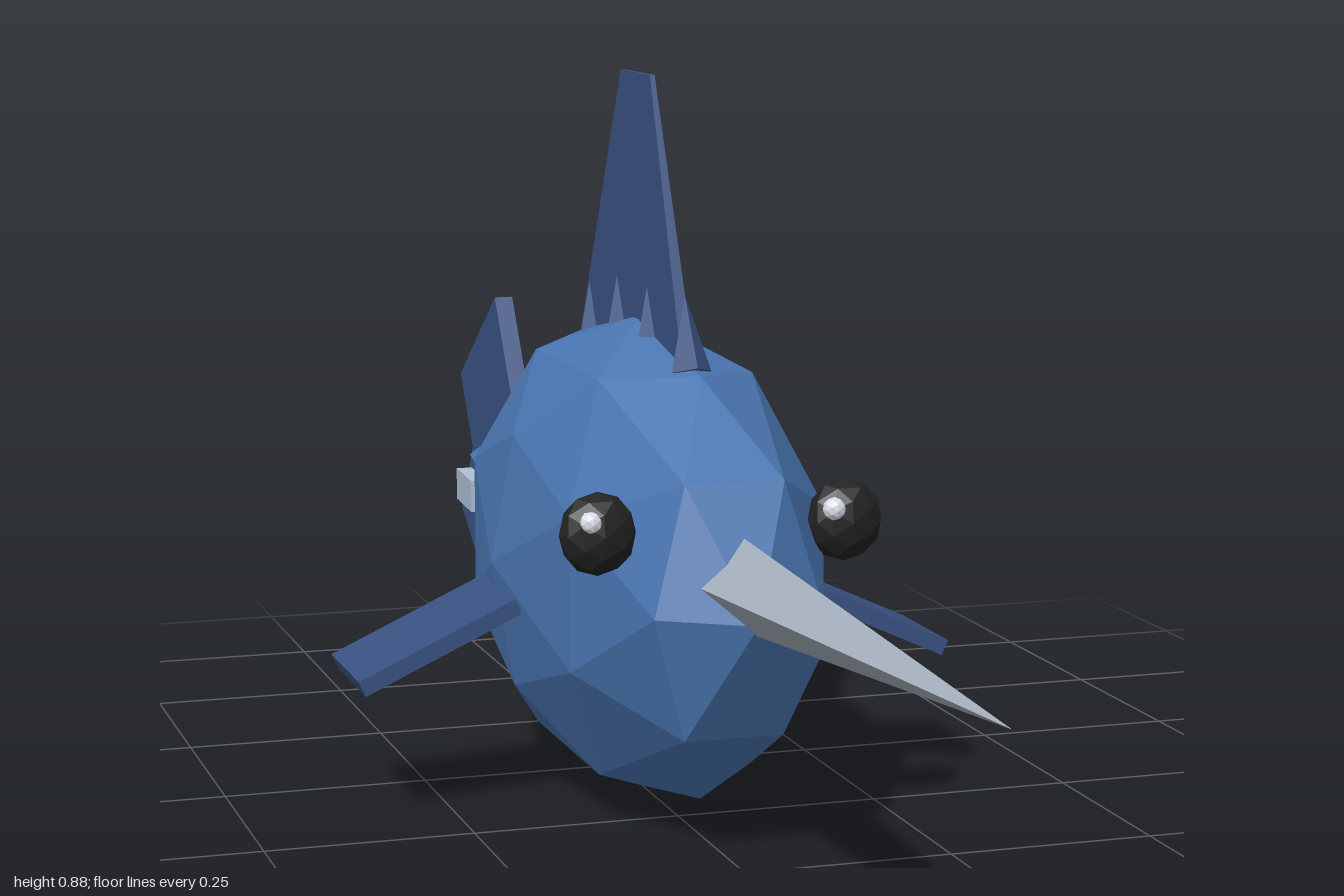
import * as THREE from 'three';

const mat = (name, color) => {
  const m = new THREE.MeshStandardMaterial({ color, flatShading: true });
  m.name = name;
  return m;
};

export function createModel() {
  const blue = mat('bodyBlue', 0x4a76b2);
  const navy = mat('finNavy', 0x3a5283);
  const grey = mat('billGrey', 0xa6b1bd);
  const black = mat('eyeBlack', 0x222222);
  const white = mat('glintWhite', 0xe4e8f4);
  const pale = mat('gillPale', 0xaebfd6);

  const fish = new THREE.Group();
  fish.name = 'fish';
  const add = (name, geo, material, x, y, z) => {
    const m = new THREE.Mesh(geo, material);
    m.name = name;
    m.position.set(x, y, z);
    fish.add(m);
    return m;
  };

  // Faceted egg body
  const body = new THREE.IcosahedronGeometry(1, 1);
  body.rotateY(Math.PI / 2);
  body.scale(0.19, 0.293, 0.44);
  add('body', body, blue, 0, 0.297, -0.145);

  // Long four-sided bill, tilted slightly upwards
  const bill = new THREE.ConeGeometry(0.053, 0.76, 4);
  bill.rotateX(Math.PI / 2);
  add('bill', bill, grey, 0, 0.342, 0.62).rotation.x = -0.022;

  // Five-sided tail stem narrowing backwards
  const stem = new THREE.CylinderGeometry(0.068, 0.102, 0.175, 5);
  stem.rotateX(-Math.PI / 2);
  stem.rotateZ(Math.PI);
  stem.computeBoundingBox();
  if (stem.boundingBox.max.y < 0.1) stem.rotateZ(Math.PI);
  add('tailStem', stem, blue, 0, 0.305, -0.655);

  // Two overlapping tail lobes
  for (const s of [1, -1]) {
    const lobe = add(s > 0 ? 'upperTailLobe' : 'lowerTailLobe',
      new THREE.BoxGeometry(0.025, 0.2, 0.24), navy, 0, 0.303 + s * 0.082, -0.845);
    lobe.rotation.x = -s * 0.59;
  }

  // Dorsal fin: a slab tapering towards its top
  const dorsal = new THREE.BoxGeometry(1, 1, 1);
  const p = dorsal.attributes.position;
  for (let i = 0; i < p.count; i++) {
    const top = p.getY(i) > 0;
    const front = p.getZ(i) > 0;
    const z = top ? (front ? -0.1 : -0.22) : (front ? 0.045 : -0.385);
    p.setXYZ(i, Math.sign(p.getX(i)) * (top ? 0.003 : 0.008), top ? 0.88 : 0.54, z);
  }
  add('dorsalFin', dorsal, navy, 0, 0, 0);

  // Small spines along the back
  [0.04, -0.095, -0.22, -0.34].forEach((z, i) => {
    const spine = add('backSpine', new THREE.ConeGeometry(0.024, 0.09, 4), navy,
      0, i === 0 || i === 3 ? 0.59 : 0.61, z);
    spine.rotation.x = -0.3;
  });

  // Paired parts on both sides
  for (const s of [1, -1]) {
    const side = s > 0 ? 'left' : 'right';

    const fin = add(side + 'SideFin', new THREE.BoxGeometry(0.21, 0.02, 0.155), navy,
      s * 0.272, 0.214, -0.143);
    fin.rotation.z = -s * 0.43;

    const eye = new THREE.IcosahedronGeometry(1, 1);
    eye.scale(0.045, 0.048, 0.032);
    add(side + 'Eye', eye, black, s * 0.147, 0.386, 0.166);

    const glint = new THREE.IcosahedronGeometry(0.014, 1);
    add(side + 'EyeGlint', glint, white, s * 0.144 - 0.016, 0.402, 0.185);

    const gill = add(side + 'SidePlate', new THREE.BoxGeometry(0.02, 0.04, 0.1), pale,
      s * 0.144, 0.336, -0.42);
    gill.rotation.y = s * 0.06;
  }
  return fish;
}
